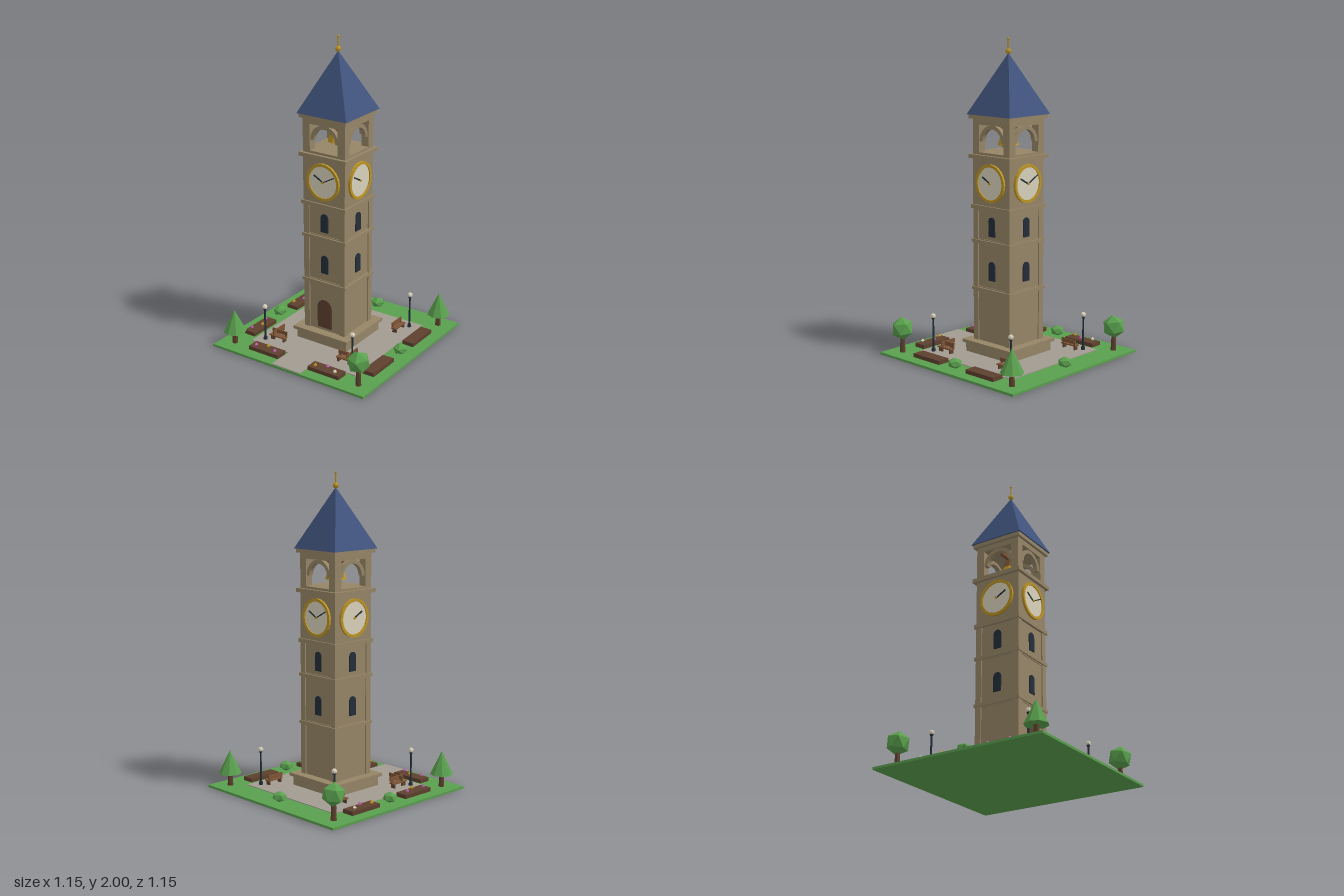
import * as THREE from 'three';

const mat = (name, color) => {
  const m = new THREE.MeshStandardMaterial({ color });
  m.name = name;
  return m;
};

export function createModel() {
  const stone = mat('stone', 0x978667), slate = mat('slate', 0x41547e), green = mat('green', 0x5aa04e);
  const paving = mat('paving', 0xa19b90), gold = mat('gold', 0xbd9527), wood = mat('wood', 0x7d5435);
  const soil = mat('darkBrown', 0x5e402e), dark = mat('dark', 0x242e3a), cream = mat('cream', 0xd9d2bc);
  const pink = mat('pink', 0xbf63ad);
  const model = new THREE.Group();
  model.name = 'clockTowerSquare';

  const flat = (g) => {
    const f = g.index ? g.toNonIndexed() : g;
    f.computeVertexNormals();
    return f;
  };
  const add = (parent, name, geo, material, x = 0, y = 0, z = 0) => {
    const m = new THREE.Mesh(geo, material);
    m.name = name;
    m.position.set(x, y, z);
    parent.add(m);
    return m;
  };
  // Box between two heights
  const block = (parent, name, w, d, y0, y1, material, x = 0, z = 0) =>
    add(parent, name, new THREE.BoxGeometry(w, y1 - y0, d), material, x, (y0 + y1) / 2, z);
  const group = (parent, name, x = 0, y = 0, z = 0, ry = 0) => {
    const g = new THREE.Group();
    g.name = name;
    g.position.set(x, y, z);
    g.rotation.y = ry;
    parent.add(g);
    return g;
  };
  const archPlate = (halfW, h, depth) => {
    const s = new THREE.Shape();
    s.moveTo(-halfW, 0);
    s.lineTo(halfW, 0);
    s.lineTo(halfW, h - halfW);
    s.absarc(0, h - halfW, halfW, 0, Math.PI, false);
    return new THREE.ExtrudeGeometry(s, { depth, bevelEnabled: false, curveSegments: 8 });
  };

  // Ground
  block(model, 'lawn', 1.15, 1.15, 0, 0.015, green);
  block(model, 'plaza', 0.8, 0.8, 0.01, 0.02, paving);
  block(model, 'path', 0.215, 0.18, 0.01, 0.02, paving, 0, 0.48);

  // Tower shaft
  const tower = group(model, 'tower');
  block(tower, 'plinth', 0.38, 0.38, 0.015, 0.08, stone);
  block(tower, 'plinthCap', 0.415, 0.415, 0.08, 0.1, stone);
  block(tower, 'shaft', 0.294, 0.294, 0.1, 0.95, stone);
  for (const y of [0.425, 0.73]) block(tower, 'stringCourse', 0.325, 0.325, y, y + 0.02, stone);
  block(tower, 'clockSill', 0.33, 0.33, 0.945, 0.97, stone);
  block(tower, 'clockStorey', 0.31, 0.31, 0.97, 1.26, stone);
  block(tower, 'belfryFloor', 0.35, 0.35, 1.26, 1.285, stone);
  block(tower, 'belfrySill', 0.31, 0.31, 1.285, 1.3, stone);
  block(tower, 'belfryLintel', 0.31, 0.31, 1.47, 1.51, stone);
  block(tower, 'cornice', 0.345, 0.345, 1.505, 1.53, stone);
  for (const x of [-1, 1]) for (const z of [-1, 1]) {
    block(tower, 'cornerPilaster', 0.04, 0.04, 0.1, 0.95, stone, x * 0.135, z * 0.135);
    block(tower, 'belfryPier', 0.052, 0.052, 1.3, 1.47, stone, x * 0.129, z * 0.129);
  }

  // Ring shapes for the clock rim and the belfry arches
  const rimShape = new THREE.Shape().absarc(0, 0, 0.12, 0, Math.PI * 2, false);
  rimShape.holes.push(new THREE.Path().absarc(0, 0, 0.102, 0, Math.PI * 2, true));
  const rimGeo = new THREE.ExtrudeGeometry(rimShape, { depth: 0.02, bevelEnabled: false, curveSegments: 12 });
  const archShape = new THREE.Shape();
  archShape.absarc(0, 0, 0.104, 0, Math.PI, false);
  archShape.absarc(0, 0, 0.08, Math.PI, 0, true);
  const archGeo = new THREE.ExtrudeGeometry(archShape, { depth: 0.03, bevelEnabled: false, curveSegments: 10 });

  // Clock hand pointing at (dx, dy)
  const hand = (parent, name, dx, dy, width, z) => {
    const m = add(parent, name, new THREE.BoxGeometry(Math.hypot(dx, dy), width, 0.004), dark, dx / 2, dy / 2, z);
    m.rotation.z = Math.atan2(dy, dx);
  };

  // The four faces: front, +x side, back, -x side
  for (let i = 0; i < 4; i++) {
    const side = group(tower, 'towerSide', 0, 0, 0, i * Math.PI / 2);
    for (const y of [0.5, 0.78]) add(side, 'window', archPlate(0.027, 0.122, 0.008), dark, 0, y, 0.145);
    for (const y of [0.418, 0.445, 0.723, 0.75])
      block(side, 'panelRail', 0.24, 0.008, y, y + 0.007, stone, 0, 0.148);
    add(side, 'belfryArch', archGeo, stone, 0, 1.367, 0.118);
    const clock = group(side, 'clock', 0, 1.115, 0);
    add(clock, 'clockRim', rimGeo, gold, 0, 0, 0.15);
    const dial = add(clock, 'clockDial', new THREE.CylinderGeometry(0.106, 0.106, 0.012, 24), cream, 0, 0, 0.157);
    dial.rotation.x = Math.PI / 2;
    const flip = i === 3 ? -1 : 1;
    hand(clock, 'hourHand', -0.066 * flip, 0.036, 0.009, 0.165);
    if (i % 2 === 0) hand(clock, 'minuteHand', 0.084, 0.046, 0.006, 0.168);
    const hub = add(clock, 'clockHub', new THREE.CylinderGeometry(0.008, 0.008, 0.008, 8), gold, 0, 0, 0.169);
    hub.rotation.x = Math.PI / 2;
  }
  add(tower, 'door', archPlate(0.053, 0.195, 0.009), soil, 0, 0.12, 0.145);

  // Bell
  const bell = group(tower, 'bell');
  block(bell, 'bellYoke', 0.22, 0.022, 1.44, 1.46, wood);
  add(bell, 'bellCrown', flat(new THREE.CylinderGeometry(0.032, 0.052, 0.06, 10)), wood, 0, 1.415, 0);
  add(bell, 'bellSkirt', flat(new THREE.CylinderGeometry(0.052, 0.067, 0.045, 10)), gold, 0, 1.3625, 0);
  add(bell, 'clapper', new THREE.SphereGeometry(0.014, 8, 6), soil, 0, 1.336, 0);

  // Roof and finial
  const roof = flat(new THREE.ConeGeometry(0.182 * Math.SQRT2, 0.375, 4).rotateY(Math.PI / 4));
  add(tower, 'roof', roof, slate, 0, 1.7175, 0);
  add(tower, 'finialBall', new THREE.SphereGeometry(0.018, 8, 6), gold, 0, 1.915, 0);
  add(tower, 'finialRod', new THREE.CylinderGeometry(0.005, 0.005, 0.1, 6), gold, 0, 1.94, 0);
  add(tower, 'finialTip', new THREE.SphereGeometry(0.008, 8, 6), gold, 0, 1.992, 0);

  // Lamps
  for (const x of [-0.337, 0.337]) for (const z of [-0.337, 0.337]) {
    const lamp = group(model, 'lamp', x, 0, z);
    add(lamp, 'lampBase', new THREE.CylinderGeometry(0.011, 0.014, 0.02, 8), dark, 0, 0.03, 0);
    add(lamp, 'lampPole', new THREE.CylinderGeometry(0.006, 0.006, 0.215, 8), dark, 0, 0.1275, 0);
    add(lamp, 'lampCollar', new THREE.CylinderGeometry(0.012, 0.008, 0.01, 8), dark, 0, 0.234, 0);
    add(lamp, 'lampGlobe', flat(new THREE.SphereGeometry(0.017, 8, 6)), cream, 0, 0.25, 0);
  }

  // Benches: length along local x, backrest on local -z
  const h = Math.PI / 2;
  for (const [x, z, ry] of [[-0.26, 0.299, 0], [0.26, 0.299, 0], [-0.3, 0.26, -h], [0.3, 0.26, h], [-0.3, -0.26, -h], [0.3, -0.26, h]]) {
    const bench = group(model, 'bench', x, 0, z, ry);
    block(bench, 'benchSeat', 0.116, 0.038, 0.045, 0.053, wood);
    block(bench, 'benchBack', 0.116, 0.008, 0.06, 0.086, wood, 0, -0.015);
    for (const s of [-1, 1]) {
      block(bench, 'benchLeg', 0.01, 0.03, 0.02, 0.045, soil, s * 0.046);
      block(bench, 'benchBackPost', 0.008, 0.006, 0.05, 0.08, soil, s * 0.046, -0.014);
    }
  }

  // Flower beds, each with three flowers or none
  const beds = [
    [-0.46, -0.23, true, [cream, pink, gold]], [-0.46, 0.23, true, [pink, gold, pink]],
    [0.46, -0.23, true, []], [0.46, 0.23, true, []],
    [-0.23, 0.46, false, [pink, gold, pink]], [0.23, 0.46, false, [gold, pink, cream]],
  ];
  for (const [x, z, alongZ, flowers] of beds) {
    const bed = group(model, 'flowerBed', x, 0, z);
    block(bed, 'bedSoil', alongZ ? 0.08 : 0.23, alongZ ? 0.23 : 0.08, 0.01, 0.04, soil);
    flowers.forEach((m, i) => {
      const a = (i - 1) * 0.073, b = i === 1 ? -0.015 : 0.015;
      const px = alongZ ? -b : a, pz = alongZ ? a : b;
      add(bed, 'flower', flat(new THREE.OctahedronGeometry(0.015)), m, px, 0.051, pz);
    });
  }

  // Bushes and trees
  const ball = (r) => flat(new THREE.IcosahedronGeometry(r, 0).rotateZ(-0.5536).rotateX(0.15));
  for (const [x, z] of [[0, -0.475], [-0.475, 0], [0.475, 0]])
    add(model, 'bush', ball(0.047), green, x, 0.047, z).scale.y = 0.72;
  for (const x of [-1, 1]) for (const z of [-1, 1]) {
    const tree = group(model, 'tree', x * 0.475, 0, z * 0.475);
    add(tree, 'trunk', flat(new THREE.CylinderGeometry(0.014, 0.019, 0.1, 7)), soil, 0, 0.06, 0);
    if (x === z) add(tree, 'roundCrown', ball(0.074), green, 0, 0.17, 0);
    else add(tree, 'coneCrown', flat(new THREE.ConeGeometry(0.073, 0.15, 8)), green, 0, 0.17, 0);
  }
  return model;
}
